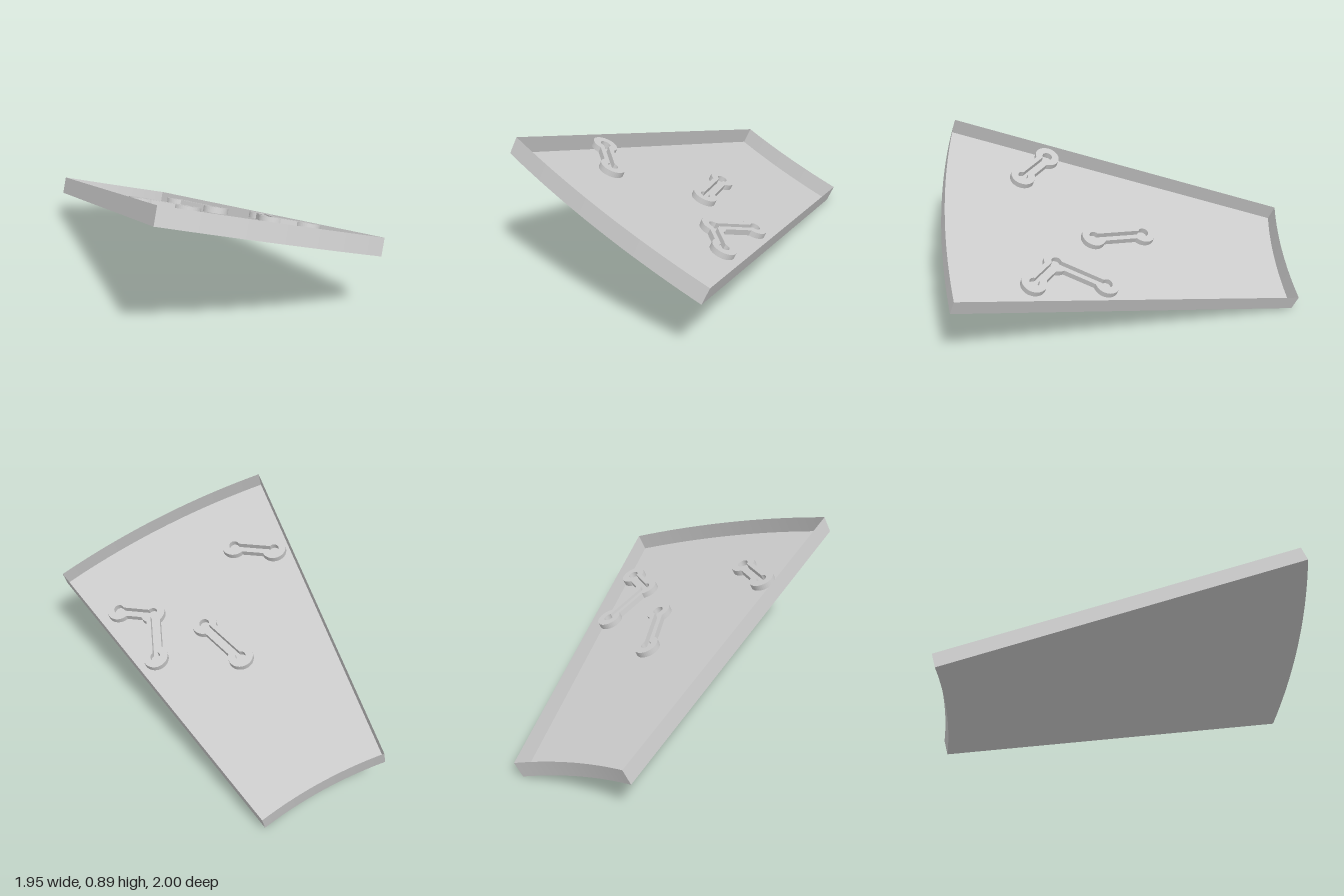
import * as THREE from 'three';

const INNER_R = 2.148, OUTER_R = 4.09, HALF_ANGLE = 0.158, WALL = 0.096, LINK_T = 0.032;
const TAU = Math.PI * 2;

// Outline of round pads joined by narrower bars, walked counterclockwise around the chain
function chainOutline(path, nodes, r, halfWidth) {
  const order = nodes.concat(nodes.slice(1, -1).reverse());
  const d = Math.asin(halfWidth / r);
  order.forEach((p, i) => {
    const prev = order[(i + order.length - 1) % order.length];
    const next = order[(i + 1) % order.length];
    const start = Math.atan2(prev.y - p.y, prev.x - p.x) + d;
    let end = Math.atan2(next.y - p.y, next.x - p.x) - d;
    while (end <= start) end += TAU;
    while (end - start > TAU) end -= TAU;
    path.absarc(p.x, p.y, r, start, end, false);
  });
  path.closePath();
  return path;
}

// Thin upright wall following a closed outline
function wallGeometry(points, height) {
  const pos = [];
  points.forEach((a, i) => {
    const b = points[(i + 1) % points.length];
    if (a.distanceTo(b) < 1e-6) return;
    pos.push(a.x, a.y, 0, b.x, b.y, 0, b.x, b.y, height);
    pos.push(a.x, a.y, 0, b.x, b.y, height, a.x, a.y, height);
  });
  const g = new THREE.BufferGeometry();
  g.setAttribute('position', new THREE.Float32BufferAttribute(pos, 3));
  g.computeVertexNormals();
  return g;
}

export function createModel() {
  const model = new THREE.Group();
  model.name = 'tiltedSectorTray';
  const solid = new THREE.MeshStandardMaterial({ color: 0xcccccc });
  const thin = new THREE.MeshStandardMaterial({ color: 0xcccccc, side: THREE.DoubleSide });

  // Tilted frame: origin at the sector's apex, x along its middle radius, z out of the floor
  const normal = new THREE.Vector3(0.1005, 0.914, -0.393).normalize();
  const across = new THREE.Vector3().crossVectors(normal, new THREE.Vector3(0.6057, 0.2568, 0.7531)).normalize();
  const radial = new THREE.Vector3().crossVectors(across, normal);
  const frame = new THREE.Matrix4().makeBasis(radial, across, normal).setPosition(-1.992, -0.435, -2.38);
  const tray = new THREE.Group();
  tray.name = 'tray';
  frame.decompose(tray.position, tray.quaternion, tray.scale);
  model.add(tray);

  const add = (name, geometry, material) => {
    const mesh = new THREE.Mesh(geometry, material);
    mesh.name = name;
    tray.add(mesh);
    return mesh;
  };

  // Ring-sector floor and the wall around it
  const sector = new THREE.Shape();
  sector.absarc(0, 0, OUTER_R, -HALF_ANGLE, HALF_ANGLE, false);
  sector.absarc(0, 0, INNER_R, HALF_ANGLE, -HALF_ANGLE, true);
  sector.closePath();
  add('floor', new THREE.ShapeGeometry(sector, 24), thin);
  add('rimWall', wallGeometry(sector.getPoints(24), WALL), thin);

  // Slotted links level with the rim; pad centres given as plan x, z
  const inverse = frame.clone().invert();
  const toLocal = ([x, z]) => {
    const p = new THREE.Vector3(x, -0.11 * x + 0.43 * z + 0.474, z).applyMatrix4(inverse);
    return new THREE.Vector2(p.x, p.y);
  };
  const links = {
    middleLink: [[-0.16, -0.17], [0.075, 0.007]],
    frontLink: [[-0.222, 0.473], [0.008, 0.489]],
    angledLink: [[0.3, -0.194], [0.38, 0.063], [0.577, 0.075]],
  };
  for (const [name, centres] of Object.entries(links)) {
    const nodes = centres.map(toLocal);
    const shape = chainOutline(new THREE.Shape(), nodes, 0.067, 0.038);
    shape.holes.push(chainOutline(new THREE.Path(), nodes, 0.027, 0.013));
    const geometry = new THREE.ExtrudeGeometry(shape, { depth: LINK_T, bevelEnabled: false, curveSegments: 16 });
    add(name, geometry, solid).position.z = WALL - LINK_T;
  }
  return model;
}
